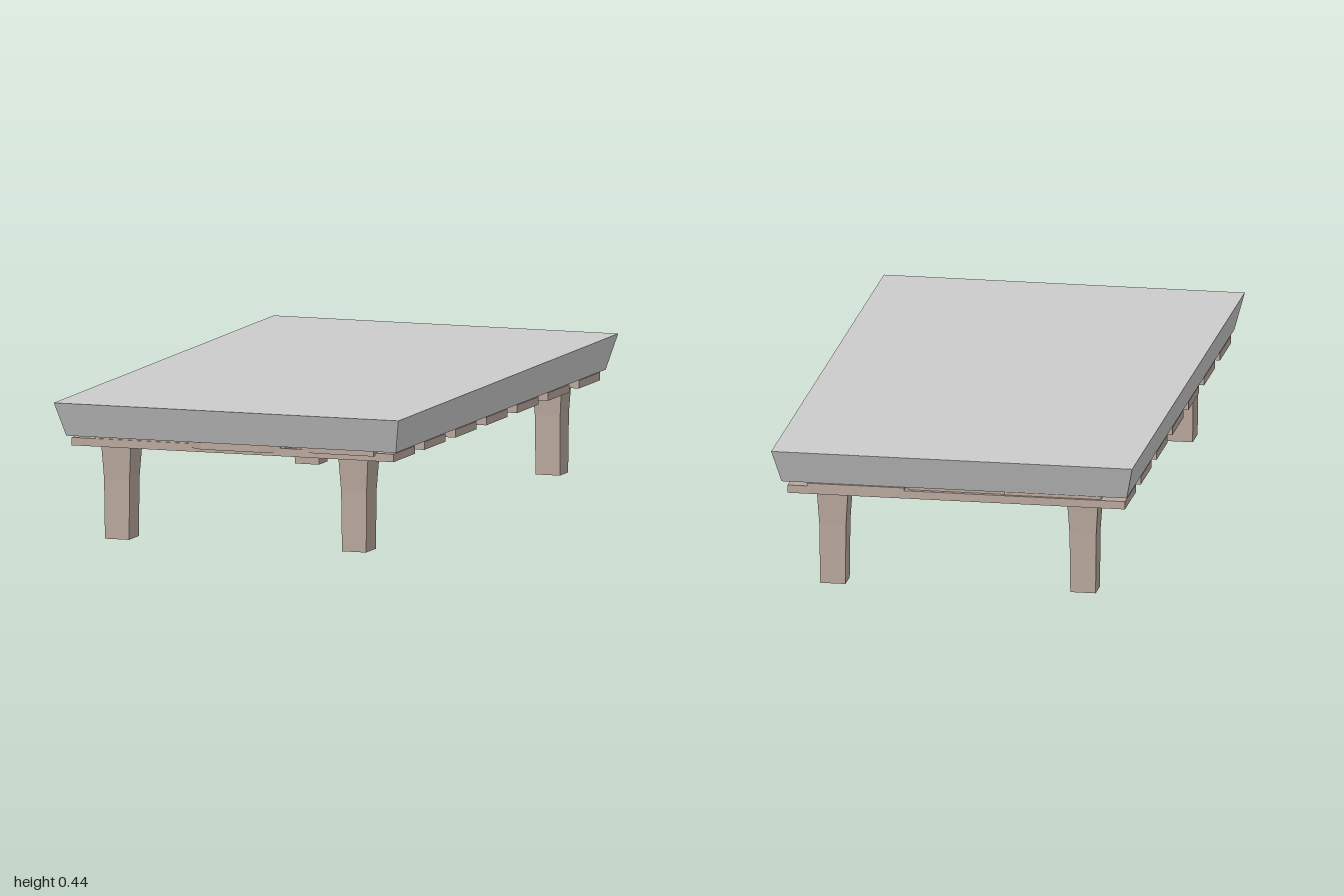
import * as THREE from 'three';

export function createModel() {
  const group = new THREE.Group();
  const wood = new THREE.MeshStandardMaterial({ color: 0xb7a69c, flatShading: true });
  const cloth = new THREE.MeshStandardMaterial({ color: 0xcccccc, flatShading: true });

  const add = (name, geometry, material, x = 0, y = 0, z = 0) => {
    const mesh = new THREE.Mesh(geometry, material);
    mesh.name = name;
    mesh.position.set(x, y, z);
    group.add(mesh);
    return mesh;
  };

  // Box standing on y = 0 whose x/z size is scaled per height by a rule
  const shapedBox = (w, h, d, segments, rule) => {
    const geometry = new THREE.BoxGeometry(w, h, d, 1, segments, 1).translate(0, h / 2, 0);
    const p = geometry.attributes.position;
    for (let i = 0; i < p.count; i++) {
      const [sx, y, sz] = rule(p.getY(i) / h);
      p.setXYZ(i, p.getX(i) * sx, y * h, p.getZ(i) * sz);
    }
    geometry.computeVertexNormals();
    return geometry;
  };

  // Mattress, narrowing towards its underside
  add('mattress', shapedBox(1.14, 0.108, 2, 1,
    (t) => (t > 0.5 ? [1, 1, 1] : [0.956, 0, 0.955])), cloth, 0, 0.327, 0);

  // Seven cross slats
  for (let i = 0; i < 7; i++) {
    add('crossSlat', new THREE.BoxGeometry(1.065, 0.025, 0.193), wood, -0.0075, 0.3045, 0.823 - i * 0.281);
  }

  // Three lengthwise planks with worn, cut front corners
  const plank = (x0, x1, back, front, cutA, cutB, bottom) => {
    const shape = new THREE.Shape([
      [x0, back], [x1, back], [x1, front - (cutB ? 0.03 : 0)], [x1 - cutB, front],
      [x0 + cutA, front], [x0, front - (cutA ? 0.03 : 0)],
    ].map(([x, z]) => new THREE.Vector2(x, z)));
    const geometry = new THREE.ExtrudeGeometry(shape, { depth: 0.327 - bottom, bevelEnabled: false });
    add('lengthwisePlank', geometry.rotateX(Math.PI / 2), wood, 0, 0.327, 0);
  };
  plank(-0.463, -0.157, -0.95, 0.915, 0, 0, 0.31);
  plank(-0.155, 0.148, -0.945, 0.945, 0.052, 0.062, 0.304);
  plank(0.157, 0.463, -0.963, 0.93, 0.113, 0, 0.308);

  // Four legs, flaring out near the top
  const legs = [
    ['frontLeftLeg', 0.386, 0.853, 0.08, 0.088],
    ['frontRightLeg', -0.4, 0.848, 0.08, 0.088],
    ['backLeftLeg', 0.386, -0.902, 0.08, 0.076],
    ['backRightLeg', -0.398, -0.868, 0.08, 0.076],
  ];
  for (const [name, x, z, w, d] of legs) {
    add(name, shapedBox(w, 0.295, d, 2, (t) => {
      if (t > 0.9) return [1.22, 1, 1.2];
      return t > 0.1 ? [1.05, 0.64, 1.05] : [1, 0, 1];
    }), wood, x, 0, z);
  }
  return group;
}
